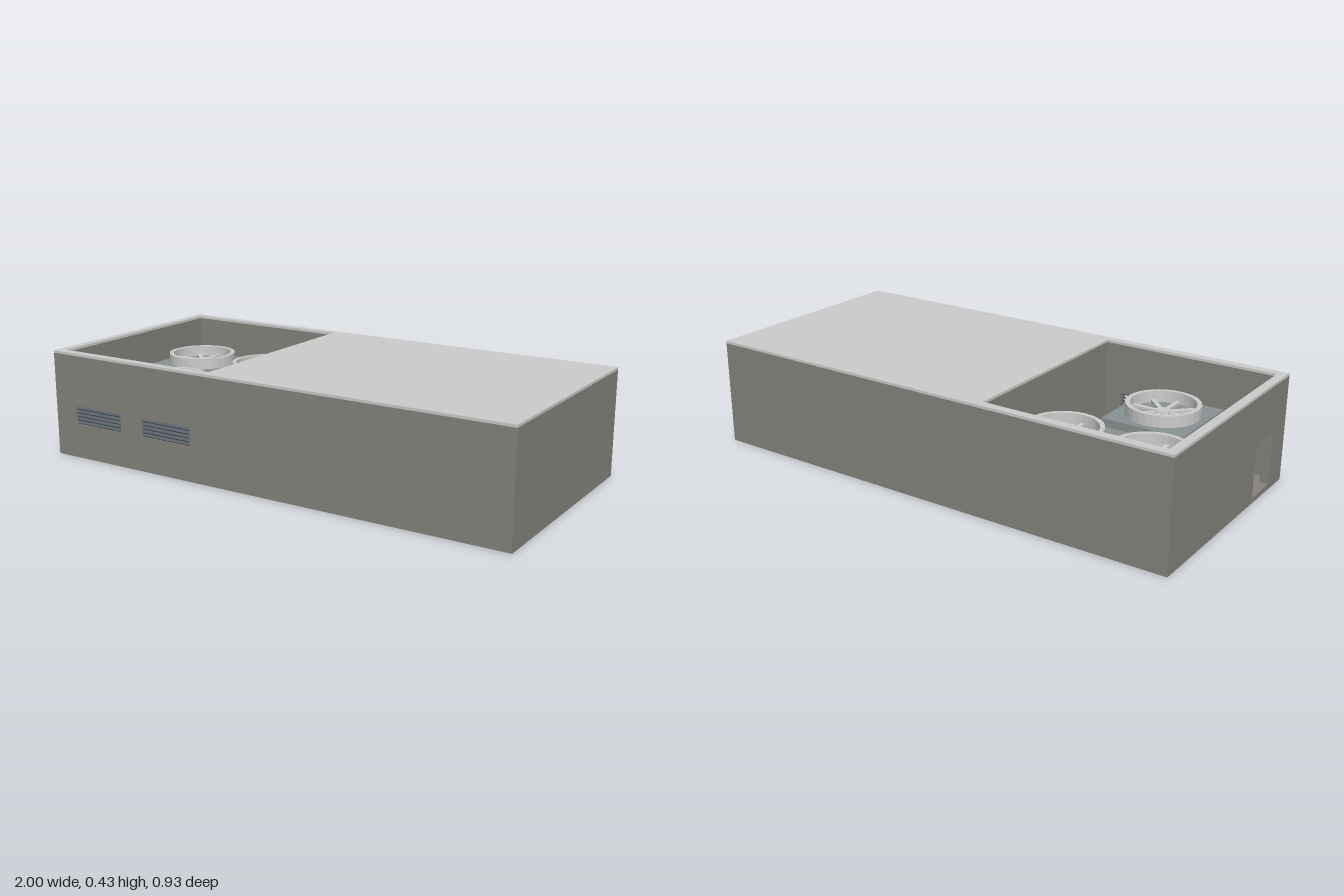
import * as THREE from 'three';

const W = 1, D = 0.465, T = 0.035, FLOOR = 0.01, WALL_TOP = 0.42, TOP = 0.43;
const PIT = { x0: -W + T, x1: -0.245, z0: -D + T, z1: D - T };

const mat = (color) => new THREE.MeshStandardMaterial({ color });
const wallMat = mat(0x85827b), capMat = mat(0xcccccc), boxMat = mat(0x8a9192);
const ringMat = mat(0xc0c3c2), slatMat = mat(0x596067);

function add(parent, name, geometry, material) {
  const mesh = new THREE.Mesh(geometry, material);
  mesh.name = name;
  parent.add(mesh);
  return mesh;
}

// Box given by its minimum and maximum corners
function block(parent, name, material, x0, x1, y0, y1, z0, z1) {
  const mesh = add(parent, name, new THREE.BoxGeometry(x1 - x0, y1 - y0, z1 - z0), material);
  mesh.position.set((x0 + x1) / 2, (y0 + y1) / 2, (z0 + z1) / 2);
  return mesh;
}

function rect(Type, x0, x1, y0, y1) {
  const p = [[x0, y0], [x1, y0], [x1, y1], [x0, y1]].map(([x, y]) => new THREE.Vector2(x, y));
  return new Type(p);
}

// Flat plate with rectangular openings
function plate(outer, holes, depth) {
  const shape = rect(THREE.Shape, ...outer);
  shape.holes = holes.map((h) => rect(THREE.Path, ...h));
  return new THREE.ExtrudeGeometry(shape, { depth, bevelEnabled: false });
}

// Cooling fan: housing, raised ring, spokes and hub
function fan(x, z) {
  const g = new THREE.Group();
  g.name = 'fanUnit';
  g.position.set(x, 0, z);
  const s = 0.168, top = 0.275, ri = 0.125, ro = 0.143;
  block(g, 'fanHousing', boxMat, -s, s, FLOOR, top, -s, s);
  const ring = new THREE.Shape().absarc(0, 0, ro, 0, Math.PI * 2, false);
  ring.holes.push(new THREE.Path().absarc(0, 0, ri, 0, Math.PI * 2, true));
  const ringGeo = new THREE.ExtrudeGeometry(ring, { depth: 0.32 - top, bevelEnabled: false, curveSegments: 16 });
  add(g, 'fanRing', ringGeo.rotateX(-Math.PI / 2), ringMat).position.y = top;
  for (let i = 0; i < 4; i++) {
    const bar = add(g, 'fanSpoke', new THREE.BoxGeometry(2 * ri + 0.01, 0.012, 0.018), ringMat);
    bar.position.y = top + 0.006;
    bar.rotation.y = (i * Math.PI) / 4;
  }
  add(g, 'fanHub', new THREE.CylinderGeometry(0.028, 0.028, 0.016, 16), ringMat).position.y = top + 0.008;
  return g;
}

export function createModel() {
  const model = new THREE.Group();
  model.name = 'rooftopPlantBuilding';

  // Floor, enclosed block and back wall
  block(model, 'floor', wallMat, -W, W, 0, FLOOR, -D, D);
  block(model, 'enclosedBlock', wallMat, PIT.x1, W, FLOOR, WALL_TOP, PIT.z0, PIT.z1);
  block(model, 'backWall', wallMat, -W, W, FLOOR, WALL_TOP, -D, PIT.z0);

  // Front wall with two vent openings
  const vents = [[-0.895, -0.66, 0.14, 0.215], [-0.55, -0.315, 0.14, 0.215]];
  add(model, 'frontWall', plate([-W, W, FLOOR, WALL_TOP], vents, T), wallMat).position.z = PIT.z1;

  // Louvres in the vents
  for (const [x0, x1, y0, y1] of vents) {
    const vent = new THREE.Group();
    vent.name = 'vent';
    const n = 5, pitch = (y1 - y0) / n;
    for (let i = 0; i < n; i++) {
      const slat = add(vent, 'ventSlat', new THREE.BoxGeometry(x1 - x0, 0.005, 0.026), slatMat);
      slat.position.set((x0 + x1) / 2, y0 + (i + 0.5) * pitch, D - T / 2);
      slat.rotation.x = 0.5;
    }
    model.add(vent);
  }

  // End wall with a doorway
  const endGeo = plate([PIT.z0, PIT.z1, FLOOR, WALL_TOP], [[0.2, 0.35, 0.022, 0.24]], T);
  add(model, 'doorWall', endGeo.rotateY(-Math.PI / 2), wallMat).position.x = PIT.x0;

  // Roof slab, open above the fan yard
  const roofGeo = plate([-W, W, -D, D], [[PIT.x0, PIT.x1, -PIT.z1, -PIT.z0]], TOP - WALL_TOP);
  add(model, 'roof', roofGeo.rotateX(-Math.PI / 2), capMat).position.y = WALL_TOP;

  for (const [x, z] of [[-0.794, -0.22], [-0.45, -0.22], [-0.63, 0.185]]) model.add(fan(x, z));
  return model;
}
